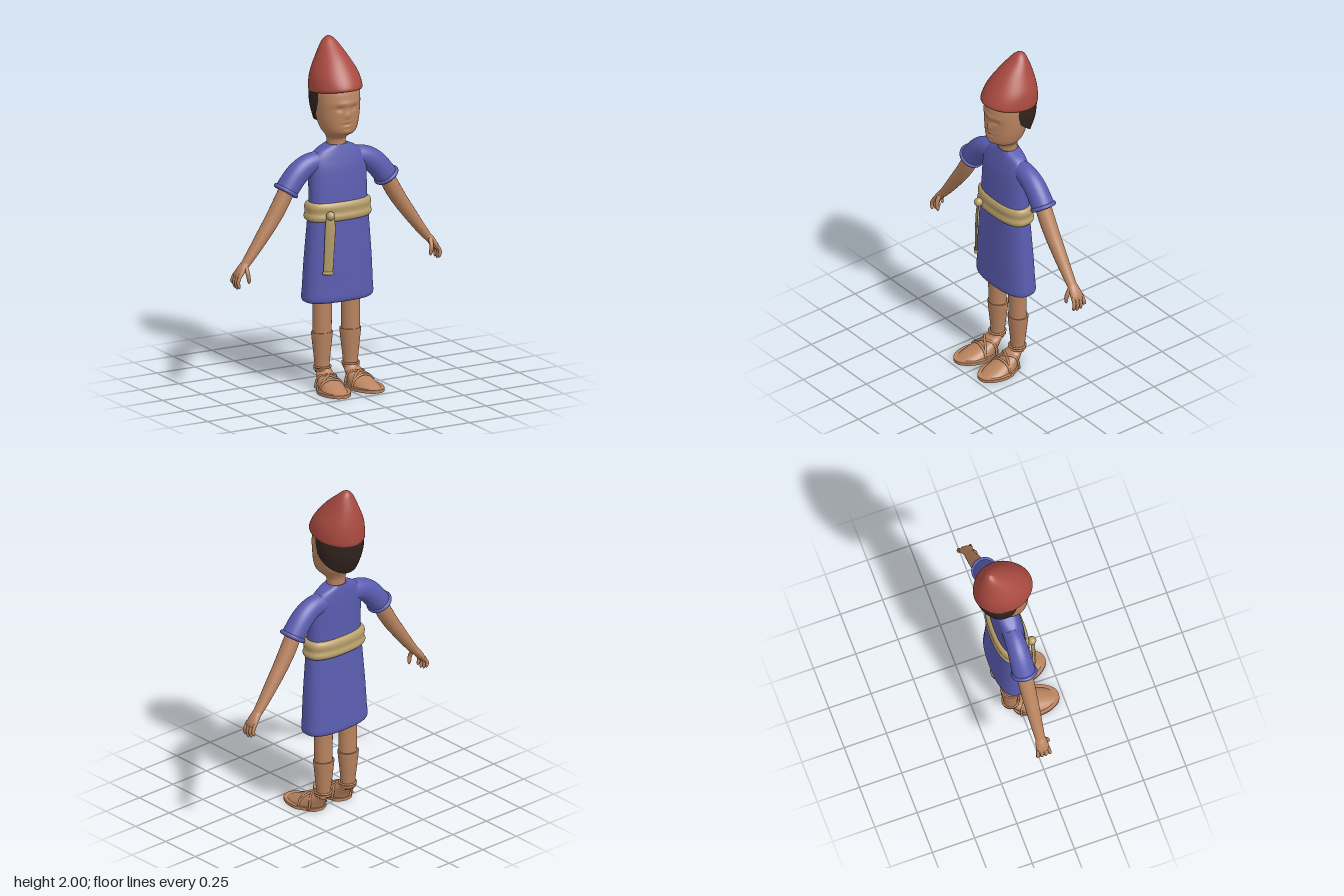
import * as THREE from 'three';

const mat = (name, color) => Object.assign(new THREE.MeshStandardMaterial({ color }), { name });

// Catmull-Rom subdivision of rows of numbers
function smooth(rows, k) {
  const out = [], last = rows.length - 1;
  for (let i = 0; i < last; i++) {
    const [p, q, r, s] = [i - 1, i, i + 1, i + 2].map(j => rows[Math.min(last, Math.max(0, j))]);
    for (let j = 0; j < k; j++) {
      const t = j / k;
      out.push(q.map((b, n) => 0.5 * (2 * b + (r[n] - p[n]) * t + (2 * p[n] - 5 * b + 4 * r[n] - s[n]) * t * t
        + (3 * b - p[n] - 3 * r[n] + s[n]) * t * t * t)));
    }
  }
  out.push(rows[last]);
  return out;
}

// Surface through closed rings of points, with optional flat end caps
function skinRings(rings, capStart, capEnd) {
  const n = rings[0].length, pos = [], index = [];
  const add = p => pos.push(p.x, p.y, p.z) / 3 - 1;
  rings.forEach(ring => ring.forEach(add));
  for (let i = 0; i < rings.length - 1; i++) {
    for (let j = 0; j < n; j++) {
      const a = i * n + j, b = i * n + (j + 1) % n;
      index.push(a, a + n, b, b, a + n, b + n);
    }
  }
  const cap = (ring, flip) => {
    const centre = ring.reduce((s, p) => s.add(p), new THREE.Vector3()).divideScalar(n);
    const c = add(centre), first = c + 1;
    ring.forEach(add);
    for (let j = 0; j < n; j++) {
      const a = first + j, b = first + (j + 1) % n;
      index.push(c, flip ? a : b, flip ? b : a);
    }
  };
  if (capStart) cap(rings[0], true);
  if (capEnd) cap(rings[rings.length - 1], false);
  const g = new THREE.BufferGeometry();
  g.setAttribute('position', new THREE.Float32BufferAttribute(pos, 3));
  g.setIndex(index);
  g.computeVertexNormals();
  return g;
}

// Upright body from rows [y, half width, front z, back z, tilt]
function loft(rows, { cx = 0, n = 40, k = 5, power = 2, start = true, end = true } = {}) {
  const bend = v => Math.sign(v) * Math.abs(v) ** (2 / power);
  const rings = smooth(rows.map(r => [...r, 0].slice(0, 5)), k).map(([y, rx, zf, zb, tilt]) =>
    Array.from({ length: n }, (_, j) => {
      const a = j / n * Math.PI * 2, dz = bend(Math.sin(a)) * (zf - zb) / 2;
      return new THREE.Vector3(cx + bend(Math.cos(a)) * Math.max(0, rx), y + tilt * dz, (zf + zb) / 2 + dz);
    }));
  return skinRings(rings, start, end);
}

// Limb along a path from rows [x, y, z, radius across, radius along side vector]
function limb(rows, { n = 20, k = 5, side = new THREE.Vector3(0, 0, 1) } = {}) {
  const path = smooth(rows, k), at = i => new THREE.Vector3(...path[Math.min(path.length - 1, Math.max(0, i))].slice(0, 3));
  const rings = path.map((r, i) => {
    const t = at(i + 1).sub(at(i - 1)).normalize();
    const b = side.clone().addScaledVector(t, -side.dot(t)).normalize();
    const across = t.clone().cross(b);
    return Array.from({ length: n }, (_, j) => {
      const a = j / n * Math.PI * 2;
      return at(i).addScaledVector(across, Math.cos(a) * r[3]).addScaledVector(b, Math.sin(a) * r[4]);
    });
  });
  return skinRings(rings, true, true);
}

// Head with brow, eye hollows, nose, mouth and chin pushed into the front
function headGeometry() {
  const g = loft([[1.38, .056, 0, -.103], [1.43, .056, 0, -.103], [1.455, .07, .03, -.11], [1.475, .088, .066, -.12],
    [1.5, .104, .078, -.135], [1.55, .12, .08, -.15], [1.6, .128, .08, -.16], [1.66, .13, .082, -.16],
    [1.72, .128, .07, -.16], [1.76, .1, .04, -.14]], { n: 72, k: 7 });
  const bumps = [[0, 1.655, .07, .012, .006], [.045, 1.625, .022, .014, -.011], [-.045, 1.625, .022, .014, -.011],
    [0, 1.585, .014, .022, .013], [0, 1.548, .025, .007, .006], [0, 1.535, .03, .005, -.005],
    [0, 1.522, .022, .007, .005], [0, 1.49, .025, .014, .006]];
  const p = g.attributes.position;
  for (let i = 0; i < p.count; i++) {
    if (p.getZ(i) < 0.01) continue;
    let dz = 0;
    for (const [x, y, w, h, d] of bumps) dz += d * Math.exp(-(((p.getX(i) - x) / w) ** 2) - ((p.getY(i) - y) / h) ** 2);
    p.setZ(i, p.getZ(i) + dz);
  }
  g.computeVertexNormals();
  return g;
}

export function createModel() {
  const model = new THREE.Group();
  const skin = mat('skin', 0xb9835f), red = mat('hat red', 0xa94a40), hairDark = mat('hair', 0x33241f);
  const blue = mat('tunic blue', 0x5a5cb0), tan = mat('belt tan', 0xb89f6b);
  blue.side = THREE.DoubleSide;
  const put = (name, geometry, material) => {
    const m = new THREE.Mesh(geometry, material);
    m.name = name;
    model.add(m);
    return m;
  };

  // Head, hair and pointed cap
  put('head', headGeometry(), skin);
  put('hair', loft([[1.595, .131, .05, -.17, .86], [1.655, .14, .055, -.208, .42], [1.72, .139, .06, -.222, .14]]), hairDark);
  put('hat', loft([[1.705, .139, .1, -.218, .14], [1.725, .146, .106, -.23, .12], [1.8, .134, .07, -.223, .05],
    [1.885, .092, .005, -.203], [1.955, .052, -.075, -.178], [1.985, .026, -.11, -.162], [2, 0, -.138, -.138]], { n: 48 }), red);

  // Tunic, open at the hem
  put('tunic', loft([[.505, .2, .05, -.13], [.525, .217, .062, -.142], [.6, .213, .061, -.138], [.75, .205, .058, -.13],
    [1, .185, .05, -.115], [1.1, .178, .045, -.112], [1.25, .178, .033, -.114], [1.32, .17, .02, -.114],
    [1.37, .125, .008, -.112], [1.4, .06, 0, -.107]], { power: 2.5, n: 56, start: false }), blue);

  // Belt with knot and hanging end
  put('belt', loft([[.972, .178, .045, -.11], [.98, .197, .06, -.13], [1, .204, .066, -.138], [1.025, .197, .06, -.132],
    [1.055, .201, .062, -.134], [1.077, .193, .053, -.124], [1.084, .172, .04, -.105]], { power: 2.5, n: 56 }), tan);
  put('beltKnot', new THREE.SphereGeometry(.025, 20, 14), tan).position.set(-.107, 1.018, .072);
  const flat = new THREE.Vector3(-.55, 0, .83);
  put('hangingSash', limb([[-.108, 1.02, .07, .02, .006], [-.112, .95, .077, .029, .007], [-.119, .82, .078, .028, .007],
    [-.125, .69, .075, .027, .007]], { side: flat }), tan);
  const tassel = put('sashEnd', new THREE.CapsuleGeometry(.011, .04, 4, 12), tan);
  tassel.position.set(-.126, .69, .075);
  tassel.rotation.set(0, -.58, Math.PI / 2);

  for (const s of [1, -1]) {
    const sideName = s > 0 ? 'left' : 'right';
    const part = (name, geometry, material = skin) => put(sideName + name, geometry, material);
    const arm = (name, rows, material, options) => part(name, limb(rows.map(([x, ...r]) => [s * x, ...r]), options), material);

    // Sleeve with rolled cuff
    arm('Sleeve', [[.06, 1.305, -.053, .06, .052], [.17, 1.298, -.052, .062, .057], [.25, 1.25, -.052, .066, .062],
      [.325, 1.16, -.052, .066, .066]], blue, { n: 32 });
    const cuff = part('Cuff', new THREE.TorusGeometry(.064, .012, 12, 36), blue);
    cuff.position.set(s * .322, 1.165, -.052);
    cuff.quaternion.setFromUnitVectors(new THREE.Vector3(0, 0, 1), new THREE.Vector3(s * .55, -.835, 0));

    // Arm, palm, fingers and thumb
    arm('Arm', [[.3, 1.2, -.052, .044, .046], [.36, 1.09, -.052, .046, .046], [.41, 1.01, -.052, .043, .043],
      [.46, .94, -.052, .039, .04], [.53, .845, -.052, .031, .034], [.585, .775, -.052, .024, .028]]);
    arm('Palm', [[.572, .79, -.052, .022, .026], [.605, .755, -.052, .022, .034], [.63, .72, -.053, .017, .04],
      [.639, .7, -.053, .007, .035]]);
    [.65, .642, .646, .662].forEach((tip, i) => {
      const f = 1.5 - i, z = -.053 + f * .02;
      arm('Finger' + (i + 1), [[.628, .73, z, .01, .01], [.648, .69, z + f * .003, .01, .01],
        [.644, tip + .012, z + f * .004, .009, .009], [.641, tip, z + f * .004, .002, .002]], skin, { n: 10 });
    });
    arm('Thumb', [[.592, .765, -.03, .013, .013], [.59, .725, -.01, .012, .012], [.584, .688, -.01, .01, .01],
      [.582, .672, -.012, .002, .002]], skin, { n: 10 });

    // Leg and calf wrap
    const cx = s * .091;
    part('Leg', loft([[.28, .054, 0, -.1], [.42, .055, 0, -.098], [.6, .057, .002, -.1]], { cx }));
    part('CalfWrap', loft([[.09, .042, -.008, -.088], [.14, .044, -.012, -.09], [.22, .052, -.005, -.099],
      [.3, .061, .002, -.107], [.32, .062, .003, -.108]], { cx }));
    for (const [y, r] of [[.12, .046], [.105, .044]]) {
      const band = part('AnkleBand', new THREE.TorusGeometry(r, .006, 8, 32));
      band.position.set(cx, y, -.048);
      band.rotation.x = Math.PI / 2;
    }

    // Foot and sandal, toes turned slightly outward
    const foot = new THREE.Group();
    foot.name = sideName + 'Foot';
    foot.position.set(s * .092, 0, 0);
    foot.rotation.y = s * .11;
    model.add(foot);
    const shoe = (name, geometry) => {
      const m = new THREE.Mesh(geometry, skin);
      m.name = name;
      foot.add(m);
    };
    const outline = new THREE.Shape();
    outline.moveTo(0, .04).splineThru([[.05, .022], [.074, -.03], [.092, -.09], [.078, -.16], [.042, -.215], [0, -.23],
      [-.042, -.215], [-.078, -.16], [-.092, -.09], [-.074, -.03], [-.05, .022], [0, .04]].map(q => new THREE.Vector2(...q)));
    const sole = new THREE.ExtrudeGeometry(outline, { depth: .018, bevelEnabled: false, curveSegments: 48 });
    shoe('sole', sole.rotateX(-Math.PI / 2));
    shoe('foot', loft([[.015, .074, .212, -.034], [.03, .07, .18, -.04], [.05, .063, .128, -.05], [.08, .051, .05, -.068],
      [.1, .044, .008, -.084], [.12, .04, -.005, -.086]]));
    const strap = (name, points) => shoe(name, new THREE.TubeGeometry(
      new THREE.CatmullRomCurve3(points.map(q => new THREE.Vector3(...q))), 24, .007, 8));
    strap('toeStrap', [[-.077, .012, .075], [-.064, .045, .075], [-.035, .067, .075], [0, .074, .075],
      [.035, .067, .075], [.064, .045, .075], [.077, .012, .075]]);
    for (const d of [1, -1]) {
      strap('crossStrap', [[d * .07, .012, 0], [d * .062, .05, 0], [d * .05, .078, .008], [0, .088, .038],
        [-d * .045, .066, .06], [-d * .066, .04, .075]]);
    }
  }
  return model;
}
